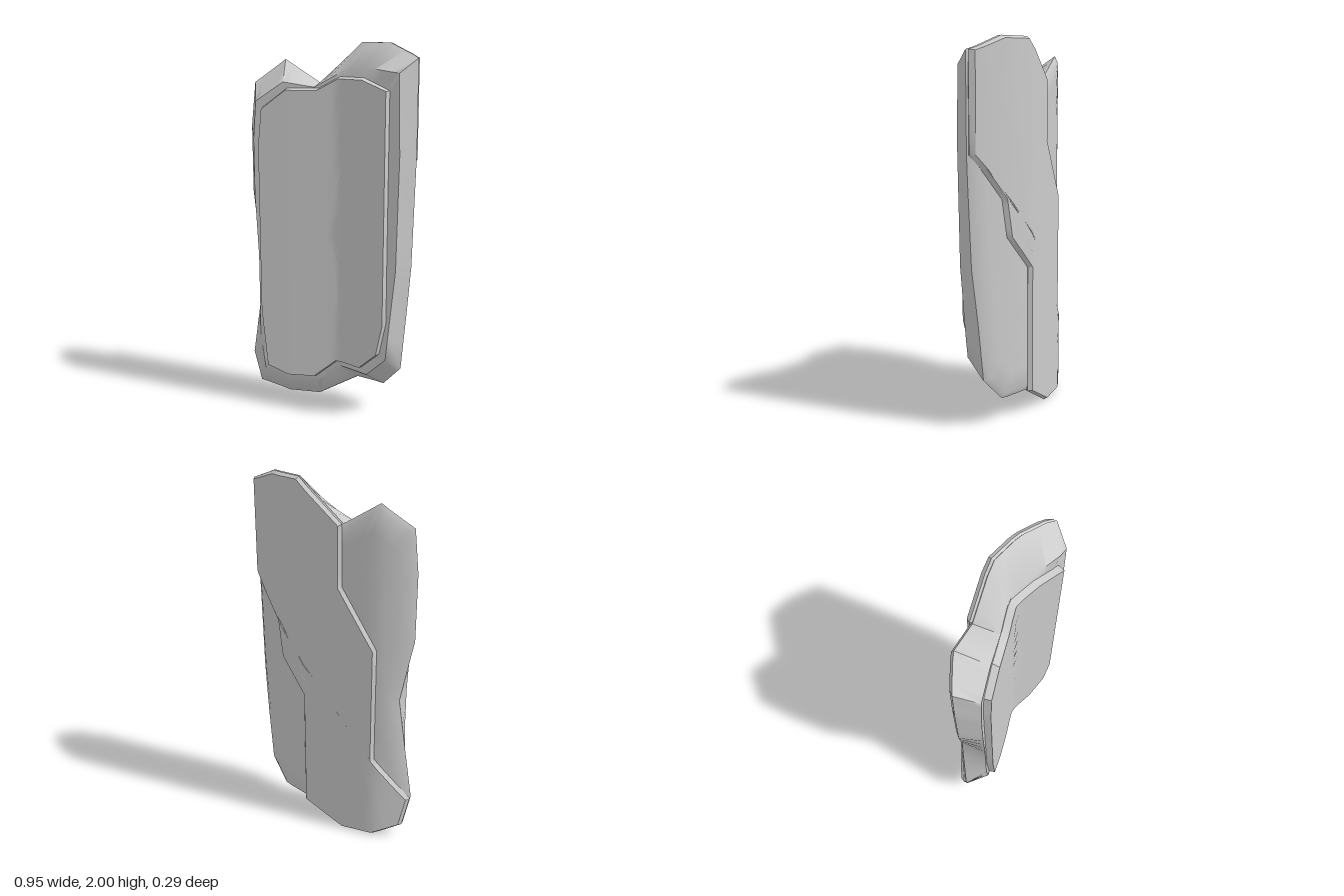
import * as THREE from 'three';
import { toCreasedNormals } from 'three/addons/utils/BufferGeometryUtils.js';

// Piecewise linear curve through [x, z] knots
const curve = (knots) => (x) => {
  let i = 1;
  while (i < knots.length - 1 && x > knots[i][0]) i++;
  const [x0, z0] = knots[i - 1], [x1, z1] = knots[i];
  return z0 + (z1 - z0) * THREE.MathUtils.clamp((x - x0) / (x1 - x0), 0, 1);
};

// Bent cross-section of the slab: front and back faces
const front = curve([[-0.42, 0.105], [-0.2, 0.06], [0, 0.014], [0.06, 0.002], [0.12, 0.022], [0.36, 0.11], [0.45, 0.12]]);
const back = curve([[-0.475, -0.03], [-0.42, -0.06], [-0.3, -0.115], [-0.1, -0.135], [0.11, -0.15], [0.26, -0.11], [0.43, -0.04], [0.47, -0.01]]);
const rim = (x) => back(x) + 0.035;
const bodyBack = (x) => back(x) + 0.02;

// Split every edge of a closed outline
function subdivide(pts, n = 4) {
  return pts.flatMap((p, i) => {
    const q = pts[(i + 1) % pts.length];
    return Array.from({ length: n }, (_, k) => [p[0] + (q[0] - p[0]) * k / n, p[1] + (q[1] - p[1]) * k / n]);
  });
}

// Move an outline inward by d (outline runs clockwise seen from the front)
function inset(pts, d) {
  const n = pts.length;
  return pts.map(([x, y], i) => {
    const a = pts[(i + n - 1) % n], b = pts[(i + 1) % n];
    const dx = b[0] - a[0], dy = b[1] - a[1], l = Math.hypot(dx, dy);
    return [x + dy / l * d, y - dx / l * d];
  });
}

// Closed solid through layers [{ pts, z }] from front to back, with bent caps
function slab(name, layers, centre, material, crease) {
  const [cx, cy] = centre, steps = 8;
  const place = (pts, z, t = 1) => pts.map(([x, y]) => {
    const px = cx + (x - cx) * t;
    return [px, cy + (y - cy) * t, z(px)];
  });
  const outlines = layers.map((l) => ({ pts: subdivide(l.pts), z: l.z }));
  const first = outlines[0], last = outlines[outlines.length - 1];
  const rings = [];
  for (let i = 0; i < steps; i++) rings.push(place(first.pts, first.z, i / steps));
  outlines.forEach((l) => rings.push(place(l.pts, l.z)));
  for (let i = steps - 1; i >= 0; i--) rings.push(place(last.pts, last.z, i / steps));
  const pos = [];
  for (let r = 0; r < rings.length - 1; r++) {
    const p = rings[r], q = rings[r + 1], n = p.length;
    for (let a = 0; a < n; a++) {
      const b = (a + 1) % n;
      if (r < rings.length - 2) pos.push(...p[a], ...q[b], ...q[a]);
      if (r > 0) pos.push(...p[a], ...p[b], ...q[b]);
    }
  }
  const geo = new THREE.BufferGeometry();
  geo.setAttribute('position', new THREE.Float32BufferAttribute(pos, 3));
  const mesh = new THREE.Mesh(toCreasedNormals(geo, crease), material);
  mesh.name = name;
  return mesh;
}

export function createModel() {
  const group = new THREE.Group();
  group.name = 'layeredSlab';
  const material = new THREE.MeshStandardMaterial({ color: 0xcccccc });

  // Main body: outer rim and the matching edge of its front face
  const rimLine = [[0.13, 2], [0.3, 2], [0.47, 1.93], [0.472, 1.44], [0.455, 0.86], [0.4, 0.27],
    [0.29, 0.145], [0.12, 0.14], [-0.11, 0.005], [-0.29, 0], [-0.44, 0.07], [-0.475, 0.25],
    [-0.4, 0.86], [-0.46, 1.2], [-0.46, 1.56], [-0.44, 1.79], [-0.29, 1.91], [-0.1, 1.79]];
  const faceLine = [[0.07, 1.86], [0.22, 1.88], [0.4, 1.86], [0.41, 1.45], [0.4, 0.86], [0.35, 0.36],
    [0.23, 0.24], [0.06, 0.24], [-0.07, 0.14], [-0.23, 0.14], [-0.36, 0.2], [-0.385, 0.4],
    [-0.385, 0.86], [-0.4, 1.2], [-0.4, 1.5], [-0.385, 1.7], [-0.24, 1.8], [-0.08, 1.775]];
  group.add(slab('body', [
    { pts: faceLine, z: front },
    { pts: rimLine, z: rim },
    { pts: inset(rimLine, 0.03), z: bodyBack },
  ], [-0.02, 1], material, 0.9));

  // Raised front panel with a narrow bevel
  const panelLine = [[0.05, 1.835], [0.2, 1.835], [0.355, 1.775], [0.355, 0.56], [0.315, 0.38],
    [0.2, 0.27], [0.05, 0.27], [-0.07, 0.17], [-0.22, 0.17], [-0.345, 0.23], [-0.375, 0.56],
    [-0.375, 1.47], [-0.355, 1.67], [-0.22, 1.775], [-0.06, 1.775]];
  group.add(slab('frontPanel', [
    { pts: inset(panelLine, 0.015), z: (x) => front(x) + 0.037 },
    { pts: panelLine, z: (x) => front(x) - 0.02 },
  ], [0, 1], material, 0.5));

  // Diagonal layer across the back
  const stripLine = [[0.13, 2], [0.3, 2], [0.47, 1.93], [0.472, 1.43], [0.3, 1.2], [0.27, 1],
    [0.12, 0.82], [0.12, 0.135], [-0.11, 0], [-0.29, 0], [-0.44, 0.07], [-0.475, 0.25],
    [-0.29, 0.5], [-0.29, 1.15], [-0.1, 1.47], [-0.1, 1.79]];
  group.add(slab('backLayer', [
    { pts: inset(stripLine, 0.01), z: (x) => back(x) + 0.035 },
    { pts: stripLine, z: (x) => back(x) + 0.02 },
    { pts: inset(stripLine, 0.014), z: back },
  ], [0, 0.87], material, 0.5));

  return group;
}
